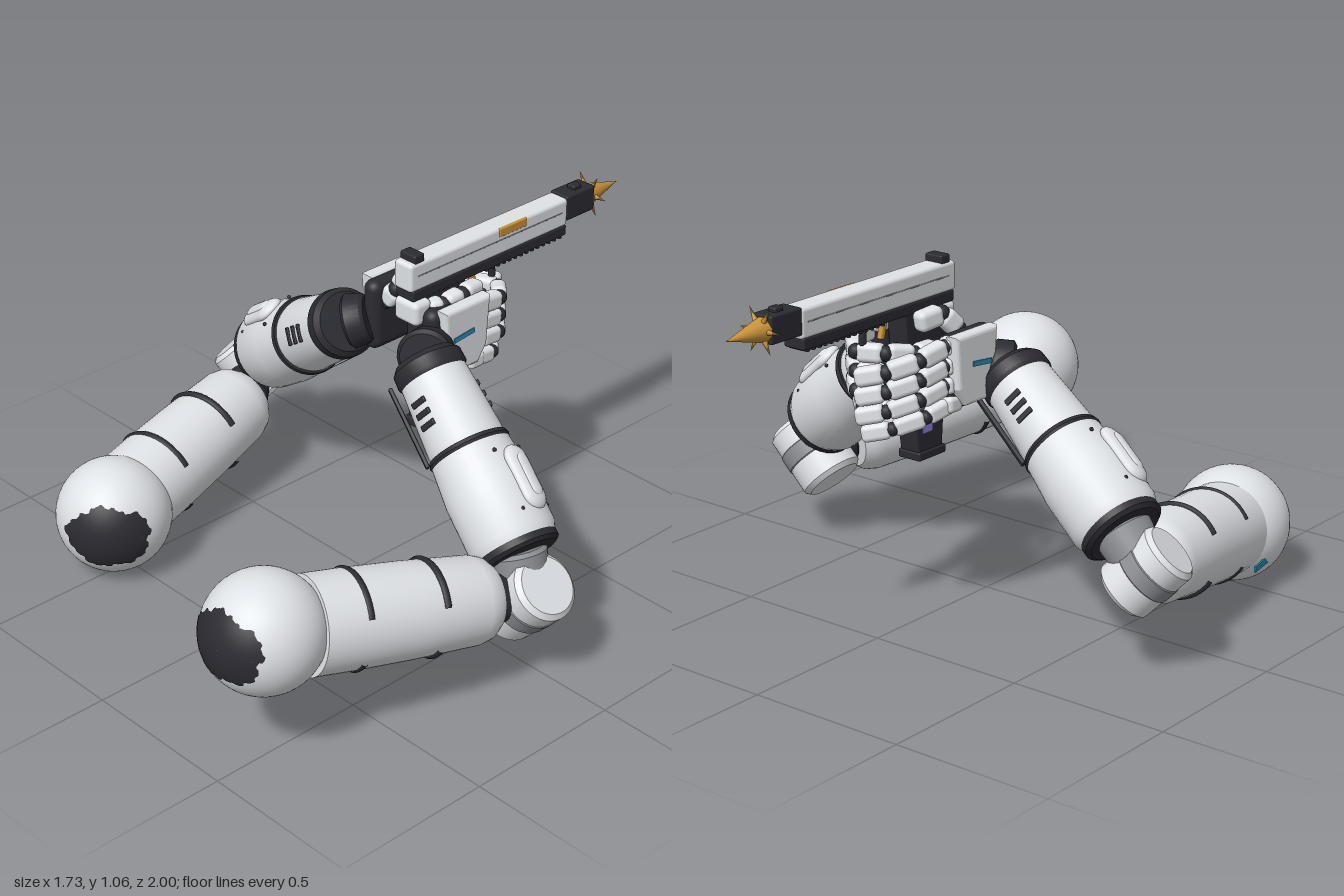
import * as THREE from 'three';
import { toCreasedNormals } from 'three/addons/utils/BufferGeometryUtils.js';
import { RoundedBoxGeometry } from 'three/addons/geometries/RoundedBoxGeometry.js';

const mat = (name, color, side = THREE.FrontSide) => {
  const m = new THREE.MeshStandardMaterial({ color, side });
  m.name = name;
  return m;
};
const M = {
  shell: mat('light grey shell', 0xdfe2e6),
  dark: mat('black rubber', 0x2b2b32),
  grey: mat('mid grey joint', 0x8b8d92),
  gold: mat('gold', 0xc8923a),
  blue: mat('blue accent', 0x2a8cb8, THREE.DoubleSide),
  violet: mat('violet accent', 0x8f7fd8),
};
const V = (x, y, z) => new THREE.Vector3(x, y, z);

function add(parent, name, geo, material, pos) {
  const m = new THREE.Mesh(geo, material);
  m.name = name;
  if (pos) m.position.copy(pos);
  parent.add(m);
  return m;
}
const vec2s = pts => pts.map(p => new THREE.Vector2(p[0], p[1]));
const lathe = (pts, seg = 40) => toCreasedNormals(new THREE.LatheGeometry(vec2s(pts), seg), 0.6);
const rbox = (x, y, z, r = 0.01) => new RoundedBoxGeometry(x, y, z, 3, r);
// Side outline given as (-z, y), extruded across x and centred
function sidePlate(pts, width, bevel) {
  const depth = width - bevel * 2;
  const geo = new THREE.ExtrudeGeometry(new THREE.Shape(vec2s(pts)),
    { depth, bevelSize: bevel, bevelThickness: bevel, bevelSegments: 3 });
  return geo.translate(0, 0, -depth / 2).rotateY(Math.PI / 2);
}

// Group whose local y runs from a to b and whose local z leans toward hint
function axisGroup(parent, name, a, b, hint = V(0, 0, 1)) {
  const g = new THREE.Group();
  const y = b.clone().sub(a).normalize();
  const x = y.clone().cross(hint).normalize();
  const z = x.clone().cross(y);
  g.quaternion.setFromRotationMatrix(new THREE.Matrix4().makeBasis(x, y, z));
  g.position.copy(a);
  g.name = name;
  parent.add(g);
  return g;
}
function rod(parent, name, a, b, r0, r1, material, seg = 28) {
  const g = axisGroup(parent, name, a, b, V(0.1, 0.2, 1));
  const L = a.distanceTo(b), e = Math.min(r0, r1, L) * 0.15;
  add(g, name, lathe([[0, 0], [r0 - e, 0], [r0, e], [r1, L - e], [r1 - e, L], [0, L]], seg), material);
}

// Ball shoulder with a ragged-edged worn patch and a slim tag
function shoulder(parent, c, dir, wide, high, tagOffset, tagTurn) {
  const R = 0.176;
  add(parent, 'shoulderBall', new THREE.SphereGeometry(R, 48, 32), M.shell, c);
  const geo = new THREE.SphereGeometry(1, 96, 8, 0, Math.PI * 2, 0, 1);
  const p = geo.attributes.position;
  for (let i = 0; i < p.count; i++) {
    const t = Math.acos(Math.min(1, p.getY(i))), f = Math.atan2(p.getZ(i), p.getX(i));
    const jag = 1 + 0.06 * Math.sin(f * 5 + 1) + 0.03 * Math.sign(Math.sin(f * 19)) + 0.03 * Math.sin(f * 11);
    const a = t * jag / Math.hypot(Math.cos(f) / wide, Math.sin(f) / high), r = R + 0.002;
    p.setXYZ(i, r * Math.sin(a) * Math.cos(f), r * Math.cos(a), r * Math.sin(a) * Math.sin(f));
  }
  geo.computeVertexNormals();
  const g = axisGroup(parent, 'shoulderPatch', c, c.clone().add(dir), V(0, 1, 0));
  add(g, 'wornPatch', geo, M.dark);
  const tag = add(parent, 'shoulderTag', new THREE.BoxGeometry(0.006, 0.018, 0.13), M.blue, c.clone().add(tagOffset));
  tag.rotation.y = tagTurn;
}

function upperArm(parent, a, b) {
  const L = a.distanceTo(b), g = axisGroup(parent, 'upperArm', a, b, V(0, 1, 0));
  add(g, 'upperArmShell', lathe([[0, -0.02], [0.142, -0.02], [0.142, 0.1], [0.138, L * 0.5], [0.128, L - 0.06],
    [0.118, L - 0.025], [0.098, L], [0, L + 0.005]]), M.shell);
  // Two split bands, open at the sides
  for (const t of [0.2, 0.63]) for (const k of [0, 1]) {
    const band = add(g, 'upperArmBand', new THREE.TorusGeometry(0.138 - t * 0.008, 0.011, 8, 28, 2.1), M.dark, V(0, t * L, 0));
    band.rotation.set(Math.PI / 2, 0, 0.52 + k * Math.PI);
  }
}

// Drum joint: a is the centre of the outer, upward-facing disc
function elbow(parent, a, b, r, upperEnd, foreEnd) {
  const mid = a.clone().lerp(b, 0.5);
  rod(parent, 'elbowDrum', a, b, r, r, M.shell, 36);
  rod(parent, 'elbowCuff', a.clone().lerp(b, 0.3), a.clone().lerp(b, 0.62), r + 0.003, r + 0.003, M.grey, 36);
  rod(parent, 'upperLink', mid, upperEnd, 0.06, 0.075, M.dark);
  rod(parent, 'foreLink', mid, foreEnd, 0.075, 0.085, M.grey);
}

function forearm(parent, a, b, s, lean) {
  const L = a.distanceTo(b), g = axisGroup(parent, 'forearm', a, b);
  add(g, 'elbowRing', lathe([[0, -0.025], [0.11, -0.025], [0.123, -0.015], [0.123, 0.005], [0, 0.005]]), M.dark);
  add(g, 'forearmShell', lathe([[0, -0.005], [0.118, -0.005], [0.132, 0.03], [0.132, L * 0.3], [0.12, L * 0.5], [0, L * 0.5]]), M.shell);
  add(g, 'middleRing', lathe([[0, L * 0.49], [0.12, L * 0.49], [0.124, L * 0.505], [0.12, L * 0.525], [0, L * 0.525]]), M.dark);
  add(g, 'wristShell', lathe([[0, L * 0.52], [0.112, L * 0.52], [0.115, L * 0.55], [0.1, L * 0.91], [0, L * 0.91]]), M.shell);
  add(g, 'wristCollar', lathe([[0, L * 0.89], [0.1, L * 0.89], [0.107, L * 0.91], [0.105, L * 0.97], [0.09, L], [0, L]]), M.dark);
  // Narrow dark guard along the underside of the wrist
  const guard = new THREE.LatheGeometry(vec2s([[0.122, L * 0.52], [0.107, L * 0.9]]), 8, -s * Math.PI / 2 - 0.14, 0.28);
  add(g, 'underGuard', guard, M.dark);
  // Raised oval panel on the upper face, with studs
  const panel = new THREE.Group();
  panel.name = 'raisedPanel';
  panel.rotation.y = s * Math.PI / 2 + lean;
  g.add(panel);
  const pad = add(panel, 'panelPad', new THREE.CapsuleGeometry(0.046, 0.11, 6, 20), M.shell, V(0, L * 0.26, 0.128));
  pad.scale.z = 0.5;
  const inset = add(panel, 'panelInset', new THREE.CapsuleGeometry(0.024, 0.09, 6, 16), M.shell, V(0, L * 0.26, 0.146));
  inset.scale.z = 0.4;
  for (const x of [-0.06, 0.06]) for (const t of [0.12, 0.42])
    add(panel, 'stud', new THREE.SphereGeometry(0.006, 8, 6), M.dark, V(x, L * t, 0.115));
  // Three vent slots on the front and on the back
  for (const turn of [s * 0.2, Math.PI - s * 0.35]) {
    const vents = new THREE.Group();
    vents.name = 'vents';
    vents.rotation.y = turn;
    g.add(vents);
    for (let i = 0; i < 3; i++)
      add(vents, 'ventSlot', rbox(0.056, 0.017, 0.008, 0.003), M.dark, V(0, L * (0.67 + i * 0.058), 0.1105 - i * 0.0025));
  }
  // Slim side rail, low on the flank
  const rail = add(g, 'sideRail', rbox(0.022, L * 0.42, 0.012, 0.004), M.dark, V(-s * 0.062, L * 0.72, s * 0.112));
  rail.rotation.y = -0.5;
}

function finger(parent, pts, r) {
  for (let i = 0; i + 1 < pts.length; i++) {
    const a = pts[i], b = pts[i + 1], L = a.distanceTo(b);
    const g = axisGroup(parent, 'fingerSegment', a, b, V(0, 1, 0.05));
    add(g, 'fingerBone', rbox(r * 1.7, L * 0.91, r * 2, r * 0.6), M.shell, V(0, L / 2, 0));
    add(parent, 'fingerJoint', new THREE.SphereGeometry(r * 0.82, 14, 10), M.dark, a);
  }
}

function hand(parent, c, s, wrist, path, thumb) {
  const g = new THREE.Group();
  g.name = s > 0 ? 'leftHand' : 'rightHand';
  parent.add(g);
  rod(g, 'wristJoint', wrist, c.clone().add(V(-s * 0.01, -0.01, 0.09)), 0.084, 0.075, M.dark);
  add(g, 'palmCore', rbox(0.062, 0.225, 0.21, 0.03), M.dark, c.clone().add(V(-s * 0.018, 0, 0)));
  // Tapered back plate with a blue stripe
  add(g, 'handBack', sidePlate([[-0.075, 0.1], [0.085, 0.1], [0.075, -0.04], [0.045, -0.085], [-0.035, -0.085], [-0.065, -0.02]],
    0.045, 0.012), M.shell, c.clone().add(V(s * 0.018, 0.005, -0.008)));
  const stripe = add(g, 'handStripe', new THREE.BoxGeometry(0.004, 0.015, 0.082), M.blue, c.clone().add(V(s * 0.0415, 0.023, 0.005)));
  stripe.rotation.x = 0.1;
  for (let i = 0; i < 4; i++) {
    const y = c.y + 0.075 - i * 0.057;
    finger(g, path.map(([x, z, dy]) => V(x, y + dy, z + Math.max(0, i - 2) * 0.025)), 0.028 - i * 0.001);
    add(g, 'knuckle', rbox(0.05, 0.05, 0.06, 0.015), M.shell, V(path[0][0], y + path[0][2], path[0][1] + 0.02));
  }
  finger(g, thumb, 0.031);
}

function arm(o) {
  const g = new THREE.Group();
  g.name = o.s > 0 ? 'leftArm' : 'rightArm';
  shoulder(g, o.shoulder, o.patch, o.wide, 0.58, o.tag, -o.s * 0.19);
  upperArm(g, ...o.upper);
  elbow(g, ...o.elbow, o.upper[1], o.fore[0]);
  forearm(g, ...o.fore, o.s, o.lean);
  hand(g, o.palm, o.s, o.fore[1], o.path, o.thumb);
  return g;
}

function pistol() {
  const g = new THREE.Group();
  g.name = 'pistol';
  g.position.x = 0.075;
  const box = (name, w, y0, y1, z0, z1, m, x = 0, r = 0.006) =>
    add(g, name, rbox(w, y1 - y0, Math.abs(z1 - z0), r), m, V(x, (y0 + y1) / 2, (z0 + z1) / 2));
  box('slide', 0.072, 0.948, 1.038, -0.09, -0.745, M.shell, 0, 0.012);
  box('frame', 0.074, 0.918, 0.953, -0.1, -0.74, M.dark);
  for (let i = 0; i < 14; i++) box('railTooth', 0.07, 0.911, 0.935, -0.4 - i * 0.024, -0.412 - i * 0.024, M.dark, 0, 0.003);
  for (const s of [-1, 1]) {
    box('slideSeam', 0.004, 0.995, 0.999, -0.12, -0.72, M.grey, s * 0.035, 0.001);
    box('gripTag', 0.004, 0.55, 0.595, -0.2, -0.245, M.violet, s * 0.036, 0.001);
  }
  box('ejectionPort', 0.02, 1.008, 1.036, -0.45, -0.565, M.gold, 0.029, 0.004);
  box('rearSight', 0.062, 1.03, 1.06, -0.11, -0.15, M.dark);
  box('frontSight', 0.03, 1.03, 1.055, -0.79, -0.825, M.dark);
  box('muzzle', 0.07, 0.962, 1.042, -0.74, -0.862, M.dark);
  // Raked grip with magazine base
  add(g, 'grip', sidePlate([[0.15, 0.93], [0.31, 0.93], [0.3, 0.8], [0.255, 0.49], [0.16, 0.49], [0.15, 0.62]], 0.07, 0.005), M.dark);
  box('magazineBase', 0.082, 0.47, 0.497, -0.145, -0.265, M.dark);
  // Trigger and guard
  const curve = new THREE.CatmullRomCurve3([V(0, 0.93, -0.455), V(0, 0.85, -0.455), V(0, 0.825, -0.42), V(0, 0.825, -0.3)]);
  add(g, 'triggerGuard', new THREE.TubeGeometry(curve, 24, 0.011, 8), M.dark);
  const trig = box('trigger', 0.018, 0.86, 0.92, -0.365, -0.385, M.gold);
  trig.rotation.x = 0.25;
  // Gold spike with a ring of thorns
  const tip = add(g, 'spike', new THREE.ConeGeometry(0.036, 0.14, 24), M.gold, V(0, 1.0, -0.93));
  tip.rotation.x = -Math.PI / 2;
  for (let i = 0; i < 6; i++) {
    const a = i * Math.PI / 3, L = 0.074;
    const thorn = add(g, 'thorn', new THREE.ConeGeometry(0.014, L, 8), M.gold,
      V(Math.cos(a) * L / 2, 1.0 + Math.sin(a) * L / 2, -0.87));
    thorn.rotation.z = a - Math.PI / 2;
  }
  return g;
}

export function createModel() {
  const model = new THREE.Group();
  model.name = 'armsWithPistol';
  model.add(pistol());
  // Pale web of the gripping hand, behind the pistol grip
  add(model, 'thumbWeb', rbox(0.095, 0.075, 0.07, 0.018), M.shell, V(0.085, 0.882, -0.125));
  model.add(arm({
    s: 1, shoulder: V(0.494, 0.412, 0.82), patch: V(0.05, 0.17, 1), wide: 0.8, tag: V(-0.157, -0.015, -0.12),
    upper: [V(0.53, 0.385, 0.68), V(0.68, 0.3, 0.15)],
    elbow: [V(0.8, 0.35, 0.04), V(0.645, 0.195, 0.04), 0.1],
    fore: [V(0.67, 0.405, 0.03), V(0.2, 0.79, -0.06)], lean: 0.35,
    palm: V(0.165, 0.785, -0.22),
    path: [[0.17, -0.31, 0], [0.165, -0.4, -0.01], [0.1, -0.46, -0.02], [0.02, -0.425, -0.02], [-0.025, -0.35, -0.03], [-0.03, -0.27, -0.03]],
    thumb: [V(0.115, 0.88, -0.15), V(0.135, 0.885, -0.2), V(0.14, 0.895, -0.27), V(0.13, 0.89, -0.35)],
  }));
  model.add(arm({
    s: -1, shoulder: V(-0.524, 0.184, 0.53), patch: V(0.72, 0.07, 0.72), wide: 0.78, tag: V(-0.155, -0.075, -0.06),
    upper: [V(-0.555, 0.2, 0.42), V(-0.66, 0.28, -0.11)],
    elbow: [V(-0.81, 0.385, -0.2), V(-0.685, 0.245, -0.26), 0.092],
    fore: [V(-0.65, 0.42, -0.22), V(-0.165, 0.75, -0.1)], lean: 0.4,
    palm: V(-0.125, 0.78, -0.23),
    path: [[-0.12, -0.33, 0.01], [-0.1, -0.42, -0.015], [-0.045, -0.5, -0.04], [0.035, -0.545, -0.06]],
    thumb: [V(-0.09, 0.82, -0.18), V(-0.05, 0.87, -0.19), V(-0.03, 0.925, -0.24), V(-0.01, 0.91, -0.33)],
  }));
  return model;
}
